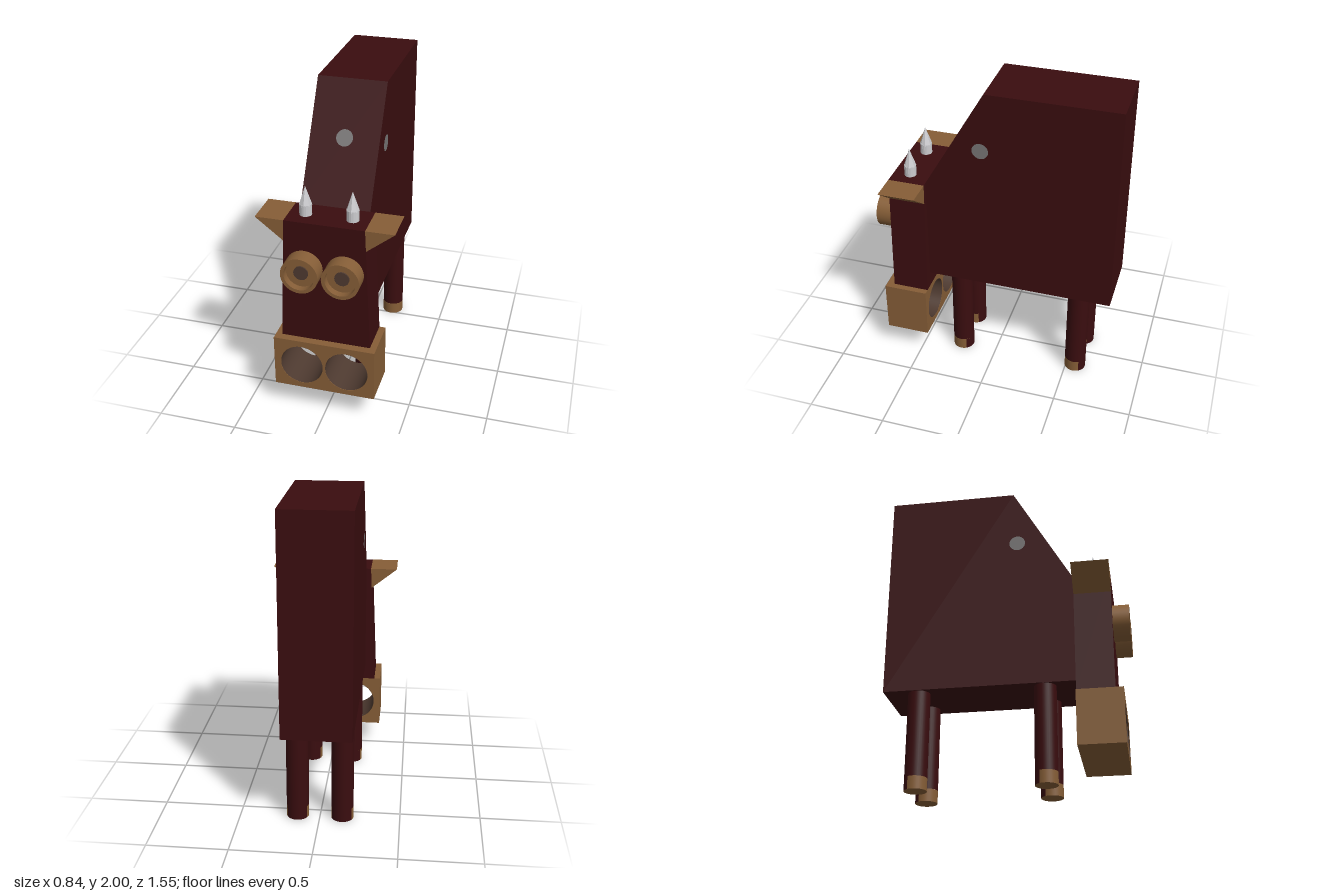
import * as THREE from 'three';

const mat = (name, color, flatShading = false) => {
  const m = new THREE.MeshStandardMaterial({ color });
  m.name = name;
  m.flatShading = flatShading;
  return m;
};

export function createModel() {
  const hide = mat('maroon hide', 0x3a0d0f);
  const tan = mat('tan brown', 0x865e37);
  const dark = mat('dark brown', 0x4e3a30);
  const grey = mat('spot grey', 0x777575);
  const silver = mat('horn silver', 0xcccccf, true);
  const model = new THREE.Group();

  const add = (name, geometry, material, x = 0, y = 0, z = 0, parent = model) => {
    const mesh = new THREE.Mesh(geometry, material);
    mesh.name = name;
    mesh.position.set(x, y, z);
    parent.add(mesh);
    return mesh;
  };
  const polygon = (points) => new THREE.Shape(points.map(([x, y]) => new THREE.Vector2(x, y)));
  const extrude = (shape, depth) =>
    new THREE.ExtrudeGeometry(shape, { depth, bevelEnabled: false, curveSegments: 32 });
  const circlePath = (x, y, r) => new THREE.Path().absarc(x, y, r, 0, Math.PI * 2, true);

  // Body: side profile (z, y) swept across x
  const bodyProfile = polygon([[-0.775, 0.625], [0.435, 0.625], [0.435, 1.33], [0.05, 2], [-0.775, 2]]);
  const bodyGeo = extrude(bodyProfile, 0.43);
  bodyGeo.translate(0, 0, -0.215).rotateY(-Math.PI / 2);
  add('body', bodyGeo, hide);

  // Tapered head
  const headShape = polygon([[-0.28, 0.525], [0.28, 0.525], [0.245, 1.33], [-0.245, 1.33]]);
  add('head', extrude(headShape, 0.235), hide, 0, 0, 0.435);

  // Muzzle block pierced by two nostrils
  const muzzleShape = polygon([[-0.32, 0.18], [0.32, 0.18], [0.32, 0.525], [-0.32, 0.525]]);
  for (const s of [-1, 1]) muzzleShape.holes.push(circlePath(s * 0.143, 0.35, 0.136));
  add('muzzle', extrude(muzzleShape, 0.285), tan, 0, 0, 0.435);

  // Nostril lining, seen from inside only
  const lining = new THREE.CylinderGeometry(0.1345, 0.1345, 0.284, 40, 1, true).rotateX(Math.PI / 2);
  const liningMat = dark;
  liningMat.side = THREE.DoubleSide;

  // Hollow eye cup, turned about z
  const eyeGeo = new THREE.LatheGeometry(
    [[0.115, 0], [0.115, 0], [0.115, 0.105], [0.115, 0.105], [0.093, 0.105], [0.093, 0.105],
      [0.093, 0.06], [0.093, 0.06], [0, 0.06]].map(([r, h]) => new THREE.Vector2(r, h)), 36);
  eyeGeo.rotateX(Math.PI / 2);
  const pupilGeo = new THREE.CylinderGeometry(0.045, 0.045, 0.009, 24).rotateX(Math.PI / 2);

  for (const s of [-1, 1]) {
    const side = s > 0 ? 'left' : 'right';
    add(side + 'Nostril', lining, liningMat, s * 0.143, 0.35, 0.5775);
    add(side + 'Eye', eyeGeo, tan, s * 0.125, 1.03, 0.67);
    add(side + 'Pupil', pupilGeo, dark, s * 0.125, 1.03, 0.734);

    // Wedge ear
    const ear = polygon([[s * 0.245, 1.33], [s * 0.25, 1.195], [s * 0.42, 1.33]]);
    add(side + 'Ear', extrude(ear, 0.235), tan, 0, 0, 0.435);

    // Horn: short post with a faceted point
    const horn = new THREE.Group();
    horn.name = side + 'Horn';
    horn.position.set(s * 0.143, 1.33, 0.56);
    add('hornPost', new THREE.CylinderGeometry(0.038, 0.038, 0.07, 16), silver, 0, 0.035, 0, horn);
    add('hornTip', new THREE.ConeGeometry(0.04, 0.12, 7), silver, 0, 0.125, 0, horn);
    model.add(horn);

    // Legs, with the hoof colour wrapping the front and the sole
    for (const [end, z] of [['Front', 0.235], ['Back', -0.56]]) {
      const leg = new THREE.Group();
      leg.name = side + end + 'Leg';
      leg.position.set(s * 0.14, 0, z);
      add('shank', new THREE.CylinderGeometry(0.07, 0.07, 0.545, 32, 1, true), hide, 0, 0.3525, 0, leg);
      const arc = Math.PI * 2 / 3;
      add('hoofFront', new THREE.CylinderGeometry(0.07, 0.07, 0.08, 24, 1, true, -arc, 2 * arc),
        tan, 0, 0.04, 0, leg);
      add('heel', new THREE.CylinderGeometry(0.07, 0.07, 0.08, 12, 1, true, arc, arc),
        hide, 0, 0.04, 0, leg);
      add('sole', new THREE.CircleGeometry(0.07, 32).rotateX(Math.PI / 2), tan, 0, 0, 0, leg);
      model.add(leg);
    }

    // Flank spot
    const spot = add(side + 'FlankSpot', new THREE.CircleGeometry(0.052, 24), grey, s * 0.217, 1.62, 0.075);
    spot.rotation.y = s * Math.PI / 2;
  }

  // Spot on the sloping chest
  const slope = Math.atan2(0.385, 0.67);
  const chestSpot = add('chestSpot', new THREE.CircleGeometry(0.052, 24), grey, 0, 1.691, 0.2295);
  chestSpot.rotation.x = -slope;

  // Make every clockwise ear outline and turned cup solid from both sides
  tan.side = THREE.DoubleSide;
  return model;
}
